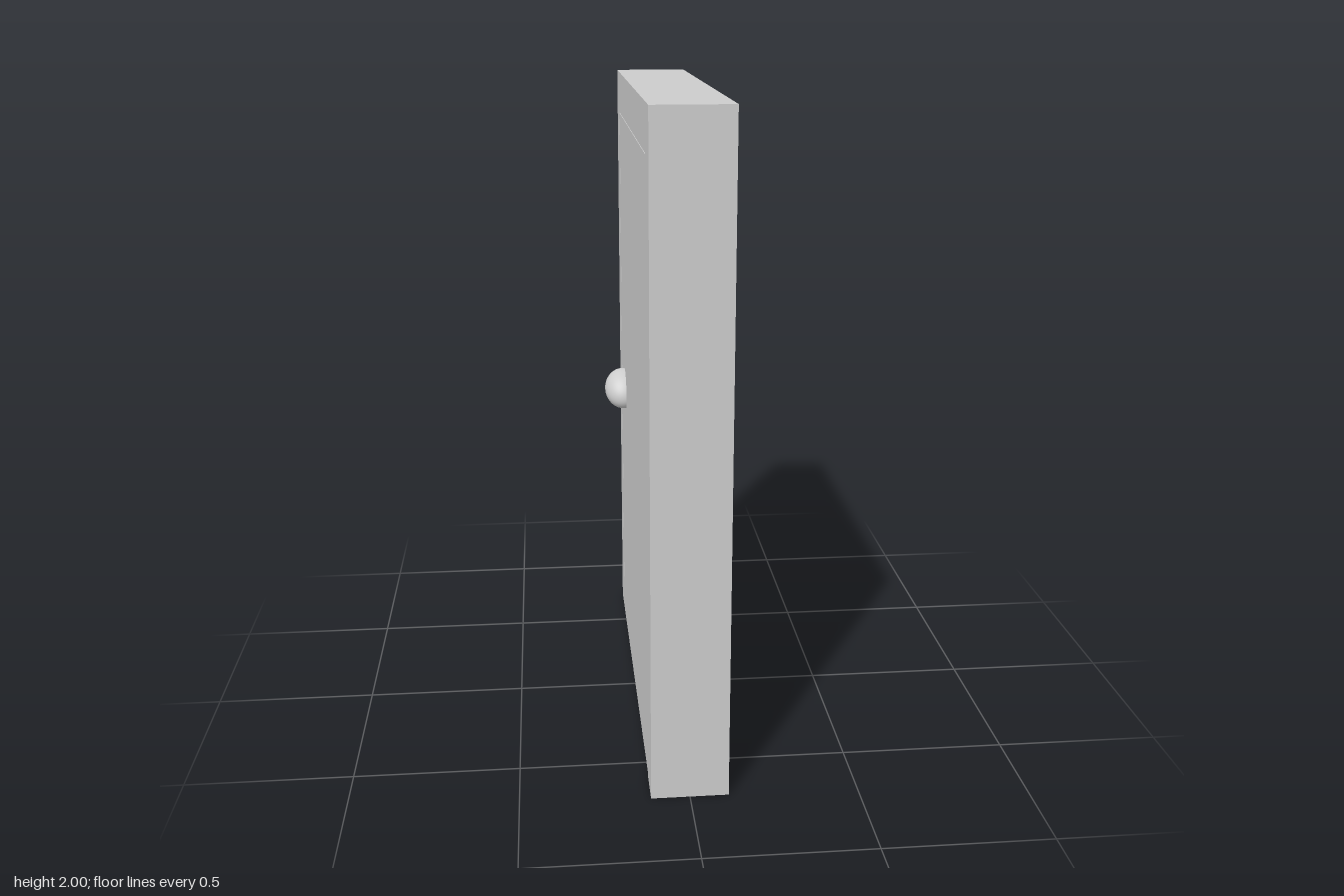
import * as THREE from 'three';

const DEPTH = 0.23; // wall thickness along x

// Extrudes a side outline, drawn as [-z, y] points, through the full thickness
function slab(name, points, material) {
  const shape = new THREE.Shape(points.map(([u, y]) => new THREE.Vector2(u, y)));
  const geometry = new THREE.ExtrudeGeometry(shape, { depth: DEPTH, bevelEnabled: false });
  geometry.translate(0, 0, -DEPTH / 2);
  geometry.rotateY(Math.PI / 2);
  const mesh = new THREE.Mesh(geometry, material);
  mesh.name = name;
  return mesh;
}

export function createModel() {
  const model = new THREE.Group();
  model.name = 'door';
  const material = new THREE.MeshStandardMaterial({ color: 0xcccccc });

  // Frame: two jambs and a lintel; the latch jamb stops just short of the floor
  model.add(slab('frame', [
    [-0.698, 0], [-0.587, 0], [-0.587, 1.866], [0.587, 1.866],
    [0.587, 0.013], [0.698, 0.013], [0.698, 2], [-0.698, 2],
  ], material));

  // Door leaf: flush with the frame, with a slit at the latch side and top
  model.add(slab('doorLeaf', [
    [-0.587, 0.013], [0.577, 0.013], [0.577, 1.863], [-0.587, 1.863],
  ], material));

  // Tilted oval knob on each face
  for (const side of [-1, 1]) {
    const knob = new THREE.Mesh(new THREE.SphereGeometry(1, 40, 24), material);
    knob.name = side > 0 ? 'leftKnob' : 'rightKnob';
    knob.scale.set(0.062, 0.05, 0.077);
    knob.rotation.x = THREE.MathUtils.degToRad(41);
    knob.position.set(side * 0.124, 0.938, -0.391);
    model.add(knob);
  }

  return model;
}
